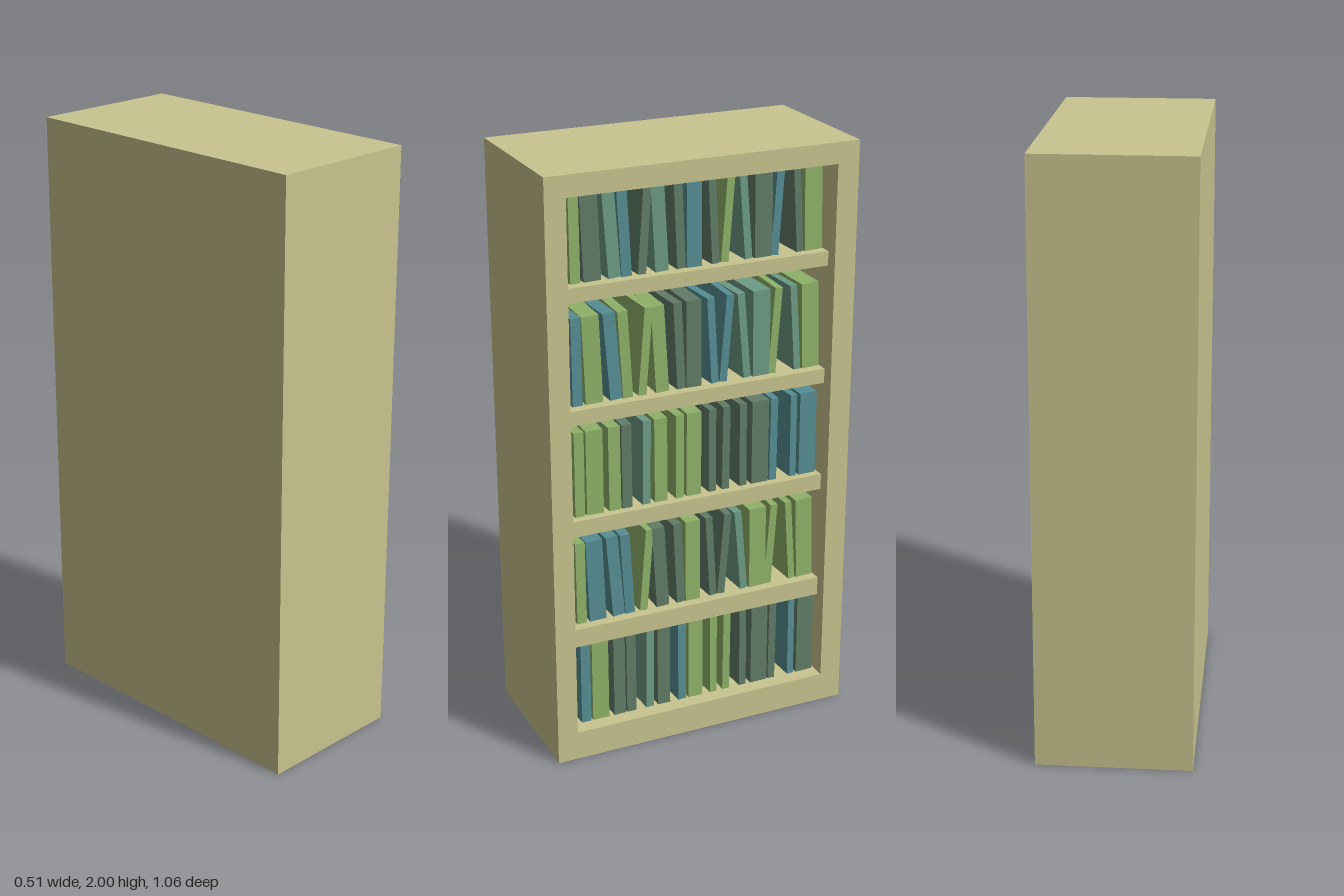
import * as THREE from 'three';

const mat = (color) => new THREE.MeshStandardMaterial({ color, flatShading: true });

export function createModel() {
  const model = new THREE.Group();
  const wood = mat(0xc9c48f);
  const covers = { G: mat(0x8fb36a), D: mat(0x627d68), B: mat(0x578f95), T: mat(0x6d9c85) };

  const add = (name, geometry, material, x, y, z, parent = model) => {
    const mesh = new THREE.Mesh(geometry, material);
    mesh.name = name;
    mesh.position.set(x, y, z);
    parent.add(mesh);
    return mesh;
  };

  // Outer case: a deep frame whose opening faces +x
  const rect = (path, x0, y0, x1, y1) =>
    path.moveTo(x0, y0).lineTo(x1, y0).lineTo(x1, y1).lineTo(x0, y1).closePath();
  const outline = rect(new THREE.Shape(), -0.53, 0, 0.53, 2);
  outline.holes.push(rect(new THREE.Path(), -0.46, 0.1, 0.455, 1.93));
  const frame = new THREE.ExtrudeGeometry(outline, { depth: 0.514, bevelEnabled: false });
  add('caseFrame', frame, wood, -0.257, 0, 0).rotation.y = Math.PI / 2;
  add('backPanel', new THREE.BoxGeometry(0.07, 1.83, 0.915), wood, -0.222, 1.015, 0.0025);

  // Shelves: [bottom, top], set slightly back from the frame
  for (const [y0, y1] of [[0.395, 0.46], [0.795, 0.85], [1.18, 1.23], [1.585, 1.633]]) {
    add('shelf', new THREE.BoxGeometry(0.4, y1 - y0, 0.915), wood, 0.013, (y0 + y1) / 2, 0.0025);
  }

  // Every row repeats the same spacing: [centre z, thickness, lean, turn]
  const slots = [
    [0.41, 0.034, 0.01, 0.02], [0.35, 0.058, 0.04, -0.03], [0.29, 0.042, 0.08, 0.03],
    [0.238, 0.034, 0.06, -0.03], [0.179, 0.028, -0.08, 0.04], [0.12, 0.045, 0.06, -0.02],
    [0.061, 0.03, 0.05, 0.04], [0.002, 0.052, 0.005, -0.02], [-0.055, 0.026, 0.06, 0.05],
    [-0.118, 0.026, -0.08, -0.04], [-0.168, 0.026, 0.09, 0.04], [-0.234, 0.062, 0.01, 0.02],
    [-0.293, 0.026, -0.07, -0.04], [-0.356, 0.024, 0.07, 0.03], [-0.413, 0.062, 0.03, 0.01],
  ];
  // Rows: [shelf height, cover colours, amount of lean, front of the books]
  const rows = [
    [0.1, 'BGDDTDBGGGDDDBD', 0.1, 0.205],
    [0.46, 'GBBBGDDGDDTGGGG', 1, 0.18],
    [0.85, 'GGGDTGGGDDDDBBB', 0.1, 0.185],
    [1.23, 'BGBGGGDDBBTTGTG', 1, 0.18],
    [1.633, 'GDTBDTDBDGTDBDG', 0.9, 0.18],
  ];
  const height = 0.292, depth = 0.3;
  rows.forEach(([base, colours, leanScale, front], r) => {
    const row = new THREE.Group();
    row.name = 'bookRow' + (r + 1);
    slots.forEach(([z, thick, lean, turn], i) => {
      const tilt = lean * leanScale;
      const y = base + (height * Math.cos(tilt) + thick * Math.sin(Math.abs(tilt))) / 2;
      const book = add('book', new THREE.BoxGeometry(depth, height, thick),
        covers[colours[i]], front - depth / 2, y, z, row);
      book.rotation.set(tilt, turn, 0);
    });
    model.add(row);
  });
  return model;
}
